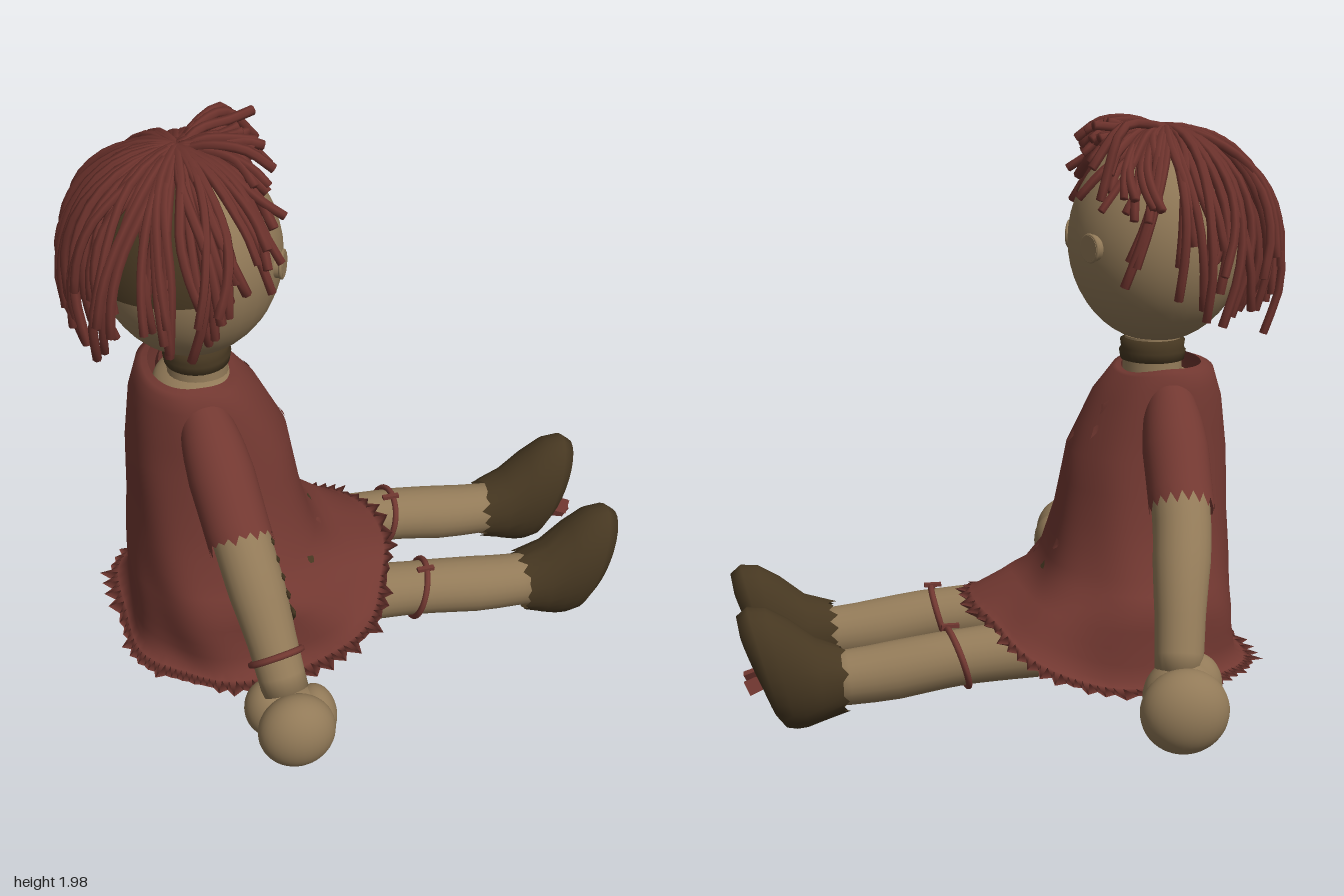
import * as THREE from 'three';

const V = (x, y, z) => new THREE.Vector3(x, y, z);
const mat = (name, color, side = THREE.FrontSide) => {
  const m = new THREE.MeshStandardMaterial({ color, side });
  m.name = name;
  return m;
};
let seed = 7;
const rand = () => (seed = (seed * 16807) % 2147483647) / 2147483647;

// Skin a list of closed rings, optionally closing both ends
function loft(rings, capStart = false, capEnd = false) {
  const n = rings[0].length, pos = [], idx = [];
  rings.forEach(r => r.forEach(p => pos.push(p.x, p.y, p.z)));
  for (let i = 0; i < rings.length - 1; i++) for (let j = 0; j < n; j++) {
    const k = (j + 1) % n, a = i * n + j, b = i * n + k, c = b + n, d = a + n;
    idx.push(a, b, d, b, c, d);
  }
  const cap = (row, flip) => {
    const c = rings[row].reduce((s, p) => s.add(p), V(0, 0, 0)).divideScalar(n);
    const ci = pos.length / 3;
    pos.push(c.x, c.y, c.z);
    for (let j = 0; j < n; j++) {
      const a = row * n + j, b = row * n + (j + 1) % n;
      flip ? idx.push(ci, b, a) : idx.push(ci, a, b);
    }
  };
  if (capStart) cap(0, true);
  if (capEnd) cap(rings.length - 1, false);
  const g = new THREE.BufferGeometry();
  g.setAttribute('position', new THREE.Float32BufferAttribute(pos, 3));
  g.setIndex(idx);
  g.computeVertexNormals();
  return g;
}

const ring = (c, u, w, hu, hw, n) => Array.from({ length: n }, (_, j) => {
  const a = j / n * Math.PI * 2;
  return c.clone().addScaledVector(u, Math.cos(a) * hu).addScaledVector(w, Math.sin(a) * hw);
});

// Centre and axes of a limb cross-section
function frame(curve, t, ref) {
  const f = curve.getTangentAt(t), c = curve.getPointAt(t);
  const u = ref.clone().addScaledVector(f, -ref.dot(f)).normalize();
  return { c, f, u, w: f.clone().cross(u) };
}

// Rings along a path; fray makes the last ring ragged
function limb(pts, radii, ref, n = 20, steps = 12, fray = 0) {
  const curve = new THREE.CatmullRomCurve3(pts), rings = [];
  for (let i = 0; i <= steps; i++) {
    const t = i / steps, s = t * (radii.length - 1), k = Math.min(Math.floor(s), radii.length - 2);
    const r = THREE.MathUtils.lerp(radii[k], radii[k + 1], s - k), { c, f, u, w } = frame(curve, t, ref);
    const pr = ring(c, u, w, r, r, n);
    if (fray && i === steps) pr.forEach((p, j) => { if (j % 2) p.addScaledVector(f, fray * (0.3 + rand())); });
    rings.push(pr);
  }
  return rings;
}

// Dress rows: height, back x, front x, half width, lift of the front
const ROWS = [
  [1.165, -0.67, -0.41, 0.17, -0.03], [1.15, -0.71, -0.38, 0.215, -0.02], [1.05, -0.74, -0.31, 0.235, 0],
  [0.87, -0.76, -0.22, 0.255, 0], [0.65, -0.765, -0.18, 0.3, 0], [0.5, -0.775, -0.14, 0.36, 0],
  [0.4, -0.78, -0.08, 0.42, 0.02], [0.28, -0.78, 0, 0.425, 0.11], [0.18, -0.79, 0.08, 0.44, 0.18],
  [0.15, -0.84, 0.12, 0.495, 0.195], [0.155, -0.7, -0.06, 0.3, 0.05]];
function dressPoint(row, a, grow = 1) {
  const k = Math.min(Math.floor(row), ROWS.length - 2);
  const [y, xb, xf, rz, lift] = ROWS[k].map((v, i) => THREE.MathUtils.lerp(v, ROWS[k + 1][i], row - k));
  const p = row > 6 ? 0.8 : 0.9, pw = v => Math.sign(v) * Math.abs(v) ** p;
  const s = grow * (1 + 0.0025 * row * Math.sin(7 * a + row * 0.9));
  return V((xb + xf) / 2 + pw(Math.cos(a)) * (xf - xb) / 2 * s,
    y + lift * Math.max(0, Math.cos(a)) ** 1.6, pw(Math.sin(a)) * rz * s);
}

export function createModel() {
  const doll = new THREE.Group();
  const cloth = mat('clothSkin', 0x927a58);
  const red = mat('redFabric', 0x723831, THREE.DoubleSide);
  const yarn = mat('redYarn', 0x6c322c);
  const brown = mat('darkBrown', 0x463721, THREE.DoubleSide);
  const add = (name, geo, m, parent = doll) => {
    const mesh = new THREE.Mesh(geo, m);
    mesh.name = name;
    parent.add(mesh);
    return mesh;
  };
  const ball = (name, c, r, m) => {
    const b = add(name, new THREE.SphereGeometry(1, 32, 24), m);
    b.position.set(...c);
    b.scale.set(...r);
    return b;
  };
  const band = (name, c, dir, r, tube, m) => {
    const b = add(name, new THREE.TorusGeometry(r, tube, 8, 28), m);
    b.position.copy(c);
    b.quaternion.setFromUnitVectors(V(0, 0, 1), dir.clone().normalize());
    return b;
  };

  // Head, button eyes, neck and collar
  const H = V(-0.52, 1.575, 0), HR = V(0.3, 0.345, 0.3);
  ball('head', H.toArray(), HR.toArray(), cloth);
  for (const s of [1, -1]) {
    const dir = V(0.85, 0, 0.4 * s).normalize();
    const eye = add('buttonEye', new THREE.CylinderGeometry(0.042, 0.046, 0.03, 20), cloth);
    eye.position.set(-0.262, 1.575, 0.157 * s);
    eye.quaternion.setFromUnitVectors(V(0, 1, 0), dir);
    band('eyeRim', eye.position.clone().addScaledVector(dir, 0.008), dir, 0.043, 0.006, cloth);
  }
  add('neck', new THREE.CylinderGeometry(0.095, 0.105, 0.2, 24), cloth).position.set(-0.51, 1.15, 0);
  ball('shoulders', [-0.52, 1.08, 0], [0.14, 0.07, 0.18], cloth);
  add('collar', new THREE.LatheGeometry([[0.09, 1.165], [0.108, 1.17], [0.113, 1.2], [0.106, 1.21], [0.11, 1.235], [0.09, 1.245]]
    .map(p => new THREE.Vector2(...p)), 28), brown).position.x = -0.51;

  // Yarn hair: a dark scalp at the back, uneven strands from the crown, short over the face
  const hair = new THREE.Group();
  hair.name = 'hair';
  doll.add(hair);
  const scalp = add('scalp', new THREE.SphereGeometry(1, 32, 16, -Math.PI / 2, Math.PI, 0, 1.65), brown, hair);
  scalp.position.set(H.x - 0.03, H.y, 0);
  scalp.scale.set(0.304, 0.35, 0.304);
  scalp.rotation.y = Math.PI / 2;
  for (let layer = 0; layer < 3; layer++) for (let i = 0; i < 38; i++) {
    const a = (i + layer / 3 + rand() * 0.8) / 38 * Math.PI * 2, off = Math.abs(Math.atan2(Math.sin(a), Math.cos(a)));
    const reach = off < 0.6 ? 22 + off * 55 : off < 1.6 ? 55 + (off - 0.6) * 58 : 113 + (off - 1.6) * 7;
    const end = THREE.MathUtils.degToRad(reach * (0.74 + rand() * 0.3));
    const lift = 0.025 + rand() * (0.05 + 0.022 * off), sway = (rand() - 0.5) * 0.6, curl = (rand() - 0.5) * 0.12;
    const pts = [];
    for (let k = 0; k <= 6; k++) {
      const t = k / 6, ph = 0.03 + end * t, az = a + sway * t * t + curl * Math.sin(t * 7);
      const out = 0.012 + layer * 0.007 + lift * t ** 1.2 + 0.012 * Math.sin(t * 8 + i) * t;
      pts.push(V(H.x - 0.02 * (1 - t) + Math.sin(ph) * Math.cos(az) * (HR.x + out),
        H.y + Math.cos(ph) * (HR.y + out), Math.sin(ph) * Math.sin(az) * (HR.z + out)));
    }
    const r = 0.014 + rand() * 0.003;
    const rings = limb(pts, [r, r], V(Math.sin(a), 0.01, -Math.cos(a)), 6, 12);
    add('strand', loft(rings, true, true), yarn, hair);
  }
  // Loose locks sticking forward over the brow
  for (const [z, x, y] of [[-0.2, -0.25, 1.84], [-0.13, -0.27, 1.97], [0.04, -0.3, 1.95], [0.14, -0.27, 1.9], [-0.24, -0.27, 1.74]]) {
    const pts = [V(-0.54, 1.925, 0), V(-0.46, 1.965, z * 0.4), V(-0.35, 1.96, z * 0.8), V(x, y, z)];
    add('looseLock', loft(limb(pts, [0.016, 0.016], V(0, 0, 1), 6, 10), true, true), yarn, hair);
  }

  // Dress with a ragged hem turned under
  const N = 120, rows = [];
  for (let r = 0; r <= 10; r += 0.5) rows.push(Array.from({ length: N }, (_, j) =>
    dressPoint(r, j / N * Math.PI * 2, r === 9 && j % 2 ? 1 + rand() * 0.09 : 1)));
  add('dress', loft(rows), red);

  // Frayed scraps of cloth on the front, with two small holes
  for (const [r, a, m] of [[2.1, -0.45, red], [2.5, -0.5, red], [2.8, 0, red], [4.6, -0.3, red],
    [5.3, -0.15, brown], [5.3, 0.75, brown], [5.2, 0.2, red]]) {
    const rim = Array.from({ length: 7 }, (_, j) => {
      const q = j / 7 * Math.PI * 2, s = 0.5 + rand() * 0.8;
      return dressPoint(r + Math.cos(q) * 0.14 * s, a + Math.sin(q) * 0.06 * s, m === red ? 1.012 + rand() * 0.03 : 1.014);
    });
    add(m === red ? 'scrap' : 'hole', loft([rim], false, true), m);
  }

  // Stuffed underside with its patch
  ball('bodyBase', [-0.38, 0.24, 0], [0.37, 0.115, 0.4], cloth);
  const patch = add('basePatch', new THREE.CylinderGeometry(1, 1, 0.008, 24), red);
  patch.position.set(-0.4, 0.125, 0);
  patch.scale.set(0.07, 1, 0.045);

  // Legs, ties and shoes
  for (const s of [1, -1]) {
    const z = 0.215 * s;
    add('leg', loft(limb([V(-0.3, 0.235, z * 0.85), V(0.2, 0.215, z), V(0.45, 0.18, z), V(0.64, 0.165, z)],
      [0.1, 0.1, 0.094, 0.098, 0.09], V(0, 1, 0), 24), true, true), cloth);
    band('legTie', V(0.195, 0.215, z), V(1, -0.3, 0.1 * s), 0.102, 0.011, red);
    add('tieEnd', new THREE.BoxGeometry(0.06, 0.012, 0.018), red).position.set(0.215, 0.318, z + 0.03);
    // Shoe sections from ankle to sole: bottom x, y, top x, y, half width
    const shoe = [[0.585, 0.06, 0.59, 0.28, 0.1], [0.65, 0.03, 0.67, 0.315, 0.112], [0.7, 0.012, 0.755, 0.385, 0.12],
      [0.735, 0.008, 0.83, 0.43, 0.125], [0.77, 0.015, 0.89, 0.435, 0.122], [0.8, 0.055, 0.925, 0.405, 0.105], [0.835, 0.14, 0.915, 0.34, 0.06]]
      .map(([bx, by, tx, ty, w]) => {
        const up = V(tx - bx, ty - by, 0), h = up.length() / 2;
        return ring(V((bx + tx) / 2, (by + ty) / 2, z * 1.03), up.normalize(), V(0, 0, 1), h, w, 28);
      });
    shoe[0].forEach((p, j) => { if (j % 2) p.x -= rand() * 0.035; });
    add('shoe', loft(shoe, false, true), brown);
  }
  const sole = add('solePatch', new THREE.CylinderGeometry(0.068, 0.068, 0.009, 9), cloth);
  sole.position.set(0.829, 0.122, 0.215);
  sole.rotation.z = -Math.PI / 2 - 0.42;
  for (const [y, z, turn] of [[0.14, -0.16, 0.3], [0.17, -0.15, -0.4]]) {
    const scrap = add('shoeScrap', new THREE.BoxGeometry(0.05, 0.05, 0.02), red);
    scrap.position.set(0.872, y, z);
    scrap.rotation.set(turn, 0, -0.4);
  }

  // Arms, ragged sleeves and mitten hands
  const X = V(1, 0, 0);
  for (const s of [1, -1]) {
    const sleeve = limb([V(-0.53, 1.06, 0.17 * s), V(-0.51, 0.925, 0.335 * s), V(-0.49, 0.785, 0.495 * s)],
      [0.08, 0.1, 0.108, 0.106, 0.105], X, 36, 10, 0.035);
    add('sleeve', loft(sleeve), red);
    const path = s > 0
      ? [V(-0.5, 0.9, 0.37), V(-0.48, 0.75, 0.53), V(-0.45, 0.58, 0.655), V(-0.42, 0.38, 0.78)]
      : [V(-0.5, 0.9, -0.37), V(-0.48, 0.74, -0.54), V(-0.44, 0.56, -0.69), V(-0.41, 0.34, -0.8)];
    add('forearm', loft(limb(path, [0.09, 0.094, 0.092, 0.08, 0.075], X, 22), true, true), cloth);
    // Each lump of the hand: centre, radii
    const hand = s > 0
      ? [[[-0.41, 0.3, 0.88], [0.125, 0.125, 0.1]], [[-0.39, 0.28, 0.8], [0.11, 0.105, 0.11]],
        [[-0.47, 0.3, 0.755], [0.08, 0.1, 0.08]], [[-0.33, 0.28, 0.8], [0.07, 0.1, 0.09]]]
      : [[[-0.41, 0.25, -0.88], [0.14, 0.135, 0.105]], [[-0.42, 0.27, -0.81], [0.125, 0.125, 0.11]],
        [[-0.47, 0.3, -0.79], [0.08, 0.1, 0.085]]];
    for (const [c, r] of hand) ball('handLobe', c, r, cloth);
    // Wrist tie and zigzag stitching on the left arm
    if (s > 0) {
      const curve = new THREE.CatmullRomCurve3(path), lace = [];
      const wr = frame(curve, 0.83, X);
      band('wristTie', wr.c, wr.f.clone().add(V(0, 0.25, 0)), 0.084, 0.011, red);
      for (let k = 0; k < 11; k++) {
        const { c, u, w } = frame(curve, 0.26 + k * 0.043, X), q = k % 2 ? 0.45 : -0.45;
        lace.push(c.clone().addScaledVector(u, Math.cos(q) * 0.096).addScaledVector(w, Math.sin(q) * 0.096));
      }
      add('stitching', new THREE.TubeGeometry(new THREE.CatmullRomCurve3(lace), 70, 0.007, 5), brown);
    }
  }
  return doll;
}
